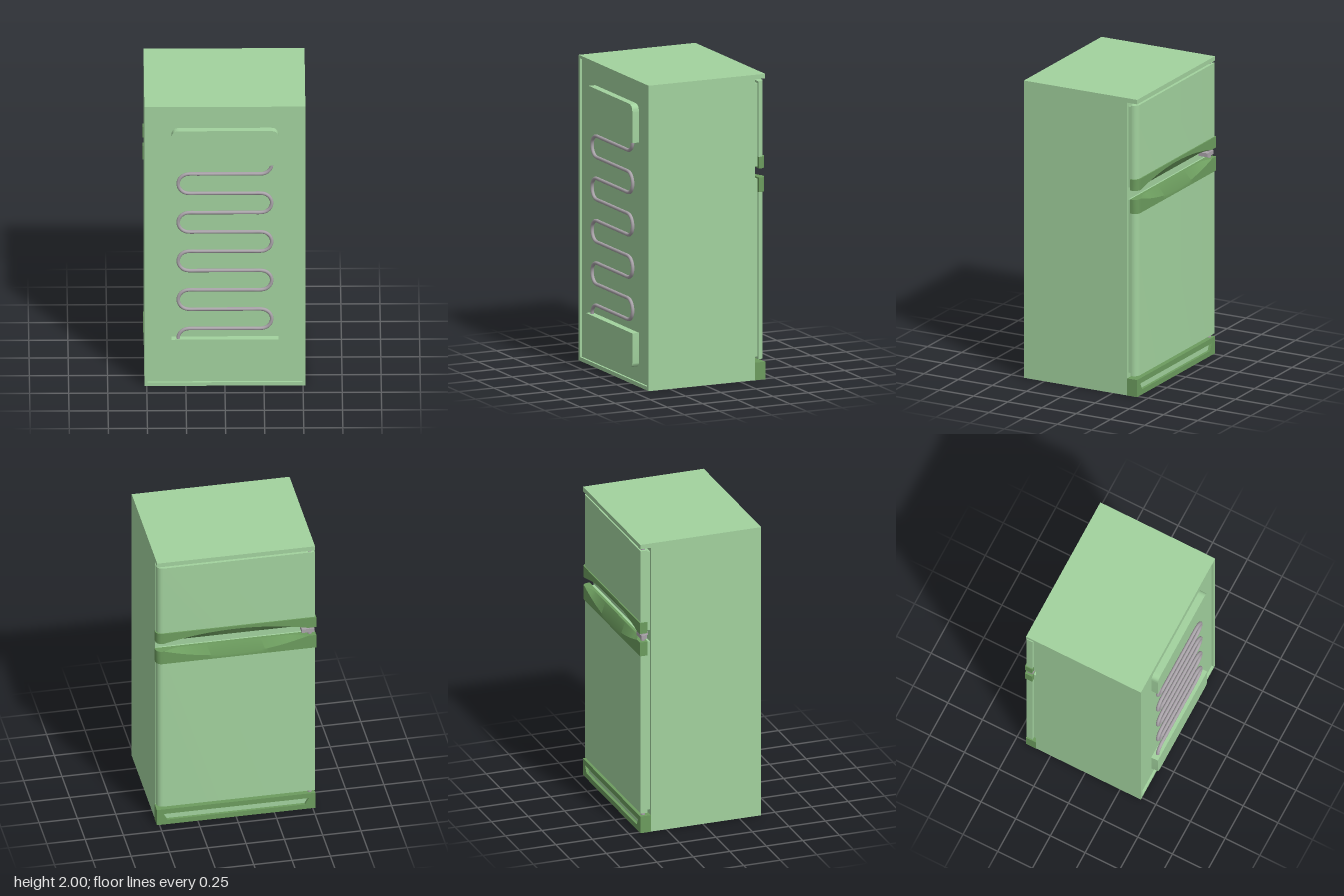
import * as THREE from 'three';
import { toCreasedNormals } from 'three/addons/utils/BufferGeometryUtils.js';

const paint = (color) => new THREE.MeshStandardMaterial({ color });
const green = paint(0xa2d29e);
const darkGreen = paint(0x6c9c5e);
const grey = paint(0xaaa4aa);

export function createModel() {
  const root = new THREE.Group();

  const add = (name, geometry, material) => {
    const mesh = new THREE.Mesh(geometry, material);
    mesh.name = name;
    root.add(mesh);
    return mesh;
  };
  // Box given by its limits on each axis
  const box = (name, x0, x1, y0, y1, z0, z1, material = green) => {
    const mesh = add(name, new THREE.BoxGeometry(x1 - x0, y1 - y0, z1 - z0), material);
    mesh.position.set((x0 + x1) / 2, (y0 + y1) / 2, (z0 + z1) / 2);
    return mesh;
  };
  const polygon = (points) => new THREE.Shape(points.map(([x, y]) => new THREE.Vector2(x, y)));
  const rect = (x0, x1, y0, y1) => polygon([[x0, y0], [x1, y0], [x1, y1], [x0, y1]]);
  // Upright plate extruded from z0 to z1
  const plate = (name, shape, z0, z1, material = green) => {
    const g = new THREE.ExtrudeGeometry(shape, { depth: z1 - z0, bevelEnabled: false, curveSegments: 10 });
    g.translate(0, 0, z0);
    return add(name, toCreasedNormals(g, 0.6), material);
  };

  // Cabinet with a rim around the recessed rear panel
  box('cabinet', -0.515, 0.515, 0, 2, -0.355, 0.385);
  const rim = rect(-0.515, 0.515, 0, 2);
  rim.holes.push(rect(-0.495, 0.495, 0.025, 1.98));
  plate('rearRim', rim, 0.385, 0.4);
  box('topLedge', -0.515, 0.515, 1.97, 2, -0.428, -0.355);

  // Kick plate with a tapered slot
  const kick = rect(-0.517, 0.517, 0, 0.115);
  kick.holes.push(polygon([[-0.45, 0.035], [0.45, 0.035], [0.475, 0.08], [-0.475, 0.08]]));
  plate('kickPlate', kick, -0.428, -0.355, darkGreen);
  box('kickPlateInset', -0.48, 0.48, 0.03, 0.085, -0.41, -0.36);

  // Doors, rounded along the opening edge
  const doorPlan = polygon([[-0.515, 0.38], [0.515, 0.38], [0.515, 0.385]]);
  doorPlan.absarc(0.475, 0.385, 0.04, 0, Math.PI / 2, false);
  doorPlan.lineTo(-0.515, 0.425);
  const door = (name, y0, y1) => {
    const g = new THREE.ExtrudeGeometry(doorPlan, { depth: y1 - y0, bevelEnabled: false, curveSegments: 10 });
    g.rotateX(-Math.PI / 2);
    g.translate(0, y0, 0);
    add(name, toCreasedNormals(g, 0.6), green);
  };
  door('lowerDoor', 0.135, 1.23);
  door('upperDoor', 1.46, 1.955);
  box('lowerSeal', -0.5, 0.5, 0.15, 1.315, -0.382, -0.354);
  box('upperSeal', -0.5, 0.5, 1.395, 1.94, -0.382, -0.354);

  // Handle band: cross-sections along x, with an arched finger scoop at the gap edge
  const handle = (name, yOuter, yGap, scoop) => {
    const dir = Math.sign(yGap - yOuter);
    const xs = [-0.522];
    for (let i = 0; i <= 40; i++) xs.push(-0.47 + (0.94 * i) / 40);
    for (let i = 0; i <= 8; i++) xs.push(0.482 + 0.04 * Math.sin((i / 8) * Math.PI / 2));
    const pos = [];
    const index = [];
    xs.forEach((x, i) => {
      const past = Math.max(0, x - 0.482);
      const front = -0.393 - Math.sqrt(Math.max(0, 0.0016 - past * past));
      const t = Math.max(0, 1 - (x / 0.47) ** 2);
      const recess = 0.035 * Math.min(1, 3 * t);
      const section = [
        [yOuter, -0.38], [yOuter, front], [yGap - dir * scoop * t, front],
        [yGap, front + recess], [yGap, -0.38],
      ];
      section.forEach(([y, z]) => pos.push(x, y, z));
      if (i === 0) return;
      for (let j = 0; j < 5; j++) {
        const a = (i - 1) * 5 + j, b = (i - 1) * 5 + ((j + 1) % 5);
        index.push(a, b, b + 5, a, b + 5, a + 5);
      }
    });
    const end = (xs.length - 1) * 5;
    for (let j = 1; j < 4; j++) {
      index.push(0, j + 1, j, end, end + j, end + j + 1);
    }
    if (dir < 0) index.reverse();
    const g = new THREE.BufferGeometry();
    g.setAttribute('position', new THREE.Float32BufferAttribute(pos, 3));
    g.setIndex(index);
    add(name, toCreasedNormals(g, 0.5), darkGreen);
  };
  handle('lowerHandle', 1.23, 1.325, 0.075);
  handle('upperHandle', 1.46, 1.385, 0.055);

  // Hinges on the side opposite the rounded edge
  for (const [y0, y1] of [[0.115, 0.135], [1.325, 1.385], [1.955, 1.97]]) {
    const pin = add('hingePin', new THREE.CylinderGeometry(0.014, 0.014, y1 - y0, 16), grey);
    pin.position.set(-0.485, (y0 + y1) / 2, -0.4);
  }
  box('hingeBracket', -0.513, -0.43, 1.342, 1.368, -0.42, -0.38, grey);
  box('hingeArm', -0.46, -0.43, 1.342, 1.368, -0.39, -0.354, grey);

  // Rear housings: top pair or bottom pair of corners rounded
  const housing = (name, ySquare, yRound, r) => {
    const s = Math.sign(yRound - ySquare);
    const shape = new THREE.Shape();
    shape.moveTo(-0.342, ySquare);
    shape.lineTo(0.342, ySquare);
    shape.lineTo(0.342, yRound - s * r);
    shape.quadraticCurveTo(0.342, yRound, 0.342 - r, yRound);
    shape.lineTo(-0.342 + r, yRound);
    shape.quadraticCurveTo(-0.342, yRound, -0.342, yRound - s * r);
    shape.closePath();
    plate(name, shape, 0.384, 0.432);
  };
  housing('upperHousing', 1.593, 1.842, 0.05);
  housing('lowerHousing', 0.347, 0.12, 0.04);

  // Condenser coil: nine rows joined by half-turns
  const pitch = 0.1385, r = pitch / 2, reach = 0.23, z = 0.409;
  const path = [];
  const turn = (cx, cy, side, from, to) => {
    for (let k = 0; k <= 8; k++) {
      const a = from + ((to - from) * k) / 8;
      path.push(new THREE.Vector3(cx + side * r * Math.cos(a), cy + r * Math.sin(a), z));
    }
  };
  const top = 1.524;
  turn(reach, top + r, 1, 0.2, -Math.PI / 2);
  for (let i = 0; i < 9; i++) {
    const side = i % 2 ? 1 : -1;
    const y = top - i * pitch;
    for (let k = 1; k < 8; k++) path.push(new THREE.Vector3(side * reach * (k / 4 - 1), y, z));
    turn(side * reach, y - r, side, Math.PI / 2, i < 8 ? -Math.PI / 2 : -0.2);
  }
  const curve = new THREE.CatmullRomCurve3(path);
  curve.arcLengthDivisions = 1500;
  add('condenserCoil', new THREE.TubeGeometry(curve, 560, 0.0115, 10), grey);

  return root;
}
